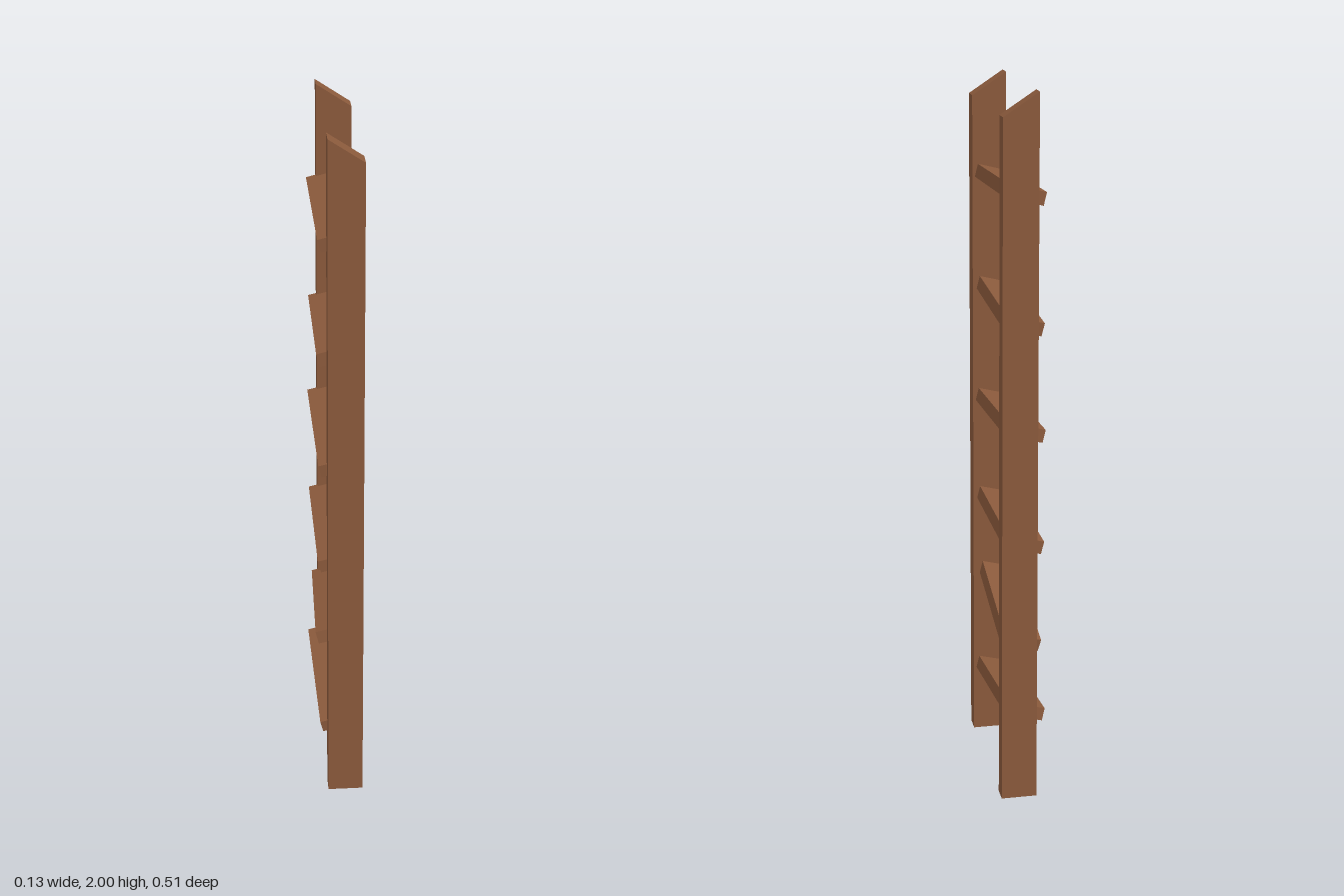
import * as THREE from 'three';

const wood = new THREE.MeshStandardMaterial({ color: 0x8b5a3c, flatShading: true });

// Upright plank with a slanted top, spanning z0..z1
function makeRail(name, z0, z1) {
  const outline = new THREE.Shape([
    new THREE.Vector2(-0.037, 0),
    new THREE.Vector2(0.064, 0),
    new THREE.Vector2(0.059, 1.937),
    new THREE.Vector2(-0.037, 2),
  ]);
  const geometry = new THREE.ExtrudeGeometry(outline, { depth: z1 - z0, bevelEnabled: false });
  const rail = new THREE.Mesh(geometry, wood);
  rail.name = name;
  rail.position.z = z0;
  return rail;
}

// Tilted step, nailed a little crooked: centre heights at its front and back ends
function makeRung(name, yFront, yBack) {
  const tilt = THREE.MathUtils.degToRad(14);
  const span = 0.41;
  const slope = Math.atan((yBack - yFront) / span / Math.cos(tilt));
  const rung = new THREE.Mesh(new THREE.BoxGeometry(0.108, 0.037, 0.433), wood);
  rung.name = name;
  rung.rotation.set(slope, 0, tilt, 'ZXY');
  rung.position.set(-0.006, (yFront + yBack) / 2, -0.004);
  return rung;
}

export function createModel() {
  const ladder = new THREE.Group();
  ladder.name = 'ladder';

  ladder.add(makeRail('frontRail', 0.203, 0.2565));
  ladder.add(makeRail('backRail', -0.2565, -0.209));

  // Rungs from bottom to top
  const heights = [
    [0.209, 0.248], [0.518, 0.464], [0.757, 0.757],
    [1.06, 1.08], [1.393, 1.379], [1.715, 1.73],
  ];
  heights.forEach(([front, back], i) => ladder.add(makeRung(`rung${i + 1}`, front, back)));

  return ladder;
}
